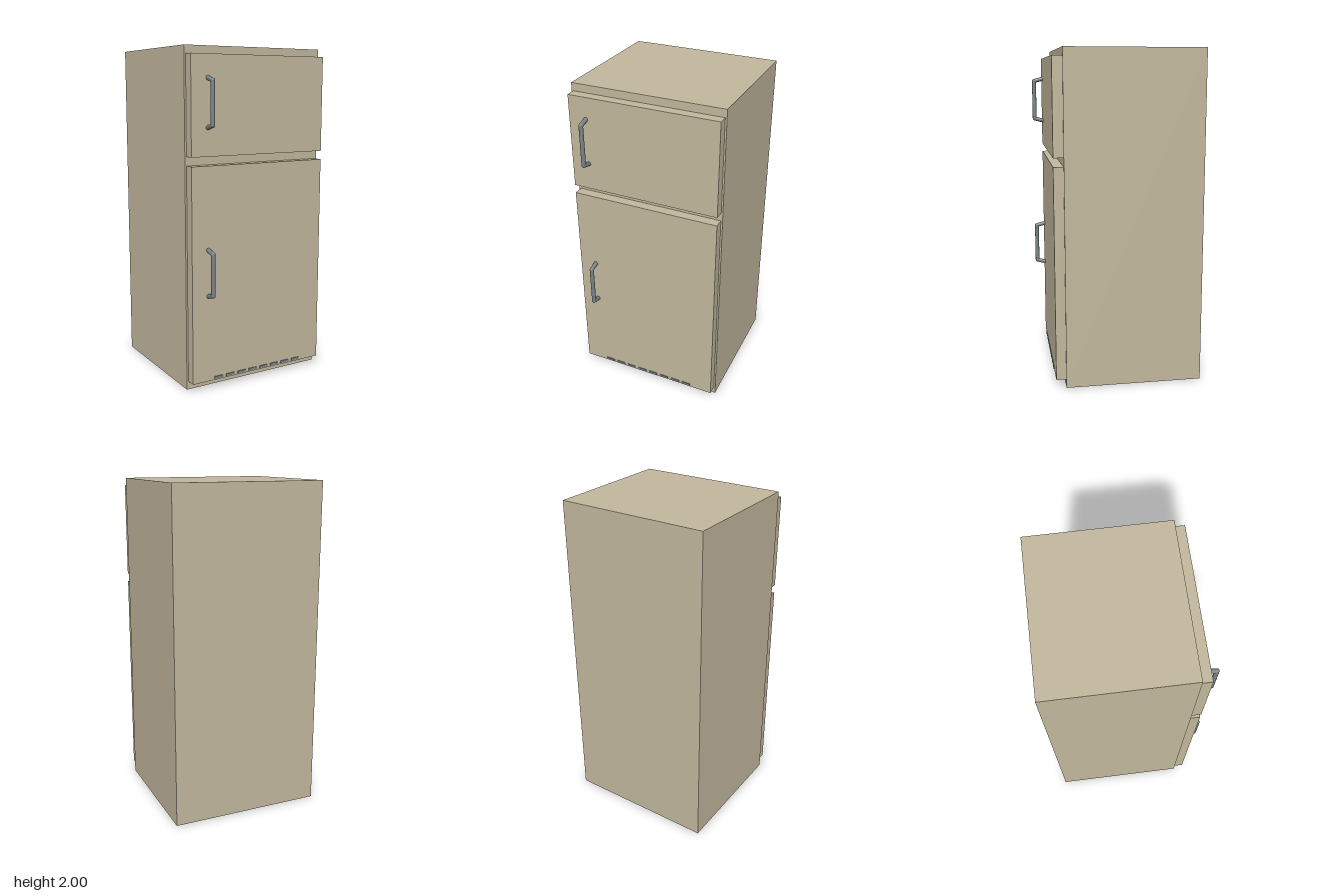
import * as THREE from 'three';

const cream = new THREE.MeshStandardMaterial({ color: 0xc2b79d });
cream.name = 'cream enamel';
const grey = new THREE.MeshStandardMaterial({ color: 0x788285 });
grey.name = 'grey metal';

function add(parent, name, geometry, material, x, y, z) {
  const mesh = new THREE.Mesh(geometry, material);
  mesh.name = name;
  mesh.position.set(x, y, z);
  parent.add(mesh);
  return mesh;
}

// Box given by its width and its y and z ranges, centred on x
function addBox(parent, name, width, y0, y1, z0, z1) {
  const geometry = new THREE.BoxGeometry(width, y1 - y0, z1 - z0);
  return add(parent, name, geometry, cream, 0, (y0 + y1) / 2, (z0 + z1) / 2);
}

// Round rod between two points
function addRod(parent, name, a, b, radius) {
  const dir = b.clone().sub(a);
  const mid = a.clone().add(b).multiplyScalar(0.5);
  const geometry = new THREE.CylinderGeometry(radius, radius, dir.length(), 16);
  const rod = add(parent, name, geometry, grey, mid.x, mid.y, mid.z);
  rod.quaternion.setFromUnitVectors(new THREE.Vector3(0, 1, 0), dir.normalize());
}

// Upright grip on two slightly splayed arms
function createHandle(name) {
  const handle = new THREE.Group();
  handle.name = name;
  const radius = 0.013;
  const gripEnd = (s) => new THREE.Vector3(0, s * 0.123, 0.055);
  addRod(handle, 'grip', gripEnd(-1), gripEnd(1), radius);
  for (const s of [-1, 1]) {
    addRod(handle, 'handleArm', new THREE.Vector3(0, s * 0.138, -0.003), gripEnd(s), radius);
    add(handle, 'handleElbow', new THREE.SphereGeometry(radius, 16, 10), grey, 0, s * 0.123, 0.055);
  }
  return handle;
}

export function createModel() {
  const fridge = new THREE.Group();
  fridge.name = 'refrigerator';

  // Cabinet and the two doors
  addBox(fridge, 'cabinet', 0.926, 0.002, 2, -0.475, 0.35);
  addBox(fridge, 'freezerDoor', 0.906, 1.385, 1.953, 0.35, 0.41);
  addBox(fridge, 'fridgeDoor', 0.906, 0.052, 1.333, 0.35, 0.41);

  // Door handles on the model's right
  for (const [name, y] of [['freezerHandle', 1.685], ['fridgeHandle', 0.71]]) {
    const handle = createHandle(name);
    handle.position.set(-0.347, y, 0.41);
    fridge.add(handle);
  }

  // Row of vent slots at the foot of the lower door
  const slot = new THREE.BoxGeometry(0.057, 0.014, 0.008);
  for (let i = 0; i < 8; i++) {
    add(fridge, 'ventSlot', slot, grey, -0.28 + i * 0.08, 0.067, 0.411);
  }

  // Levelling feet under the front
  const foot = new THREE.CylinderGeometry(0.03, 0.03, 0.008, 20);
  for (const s of [-1, 1]) add(fridge, 'foot', foot, grey, s * 0.37, 0.004, 0.25);

  return fridge;
}
